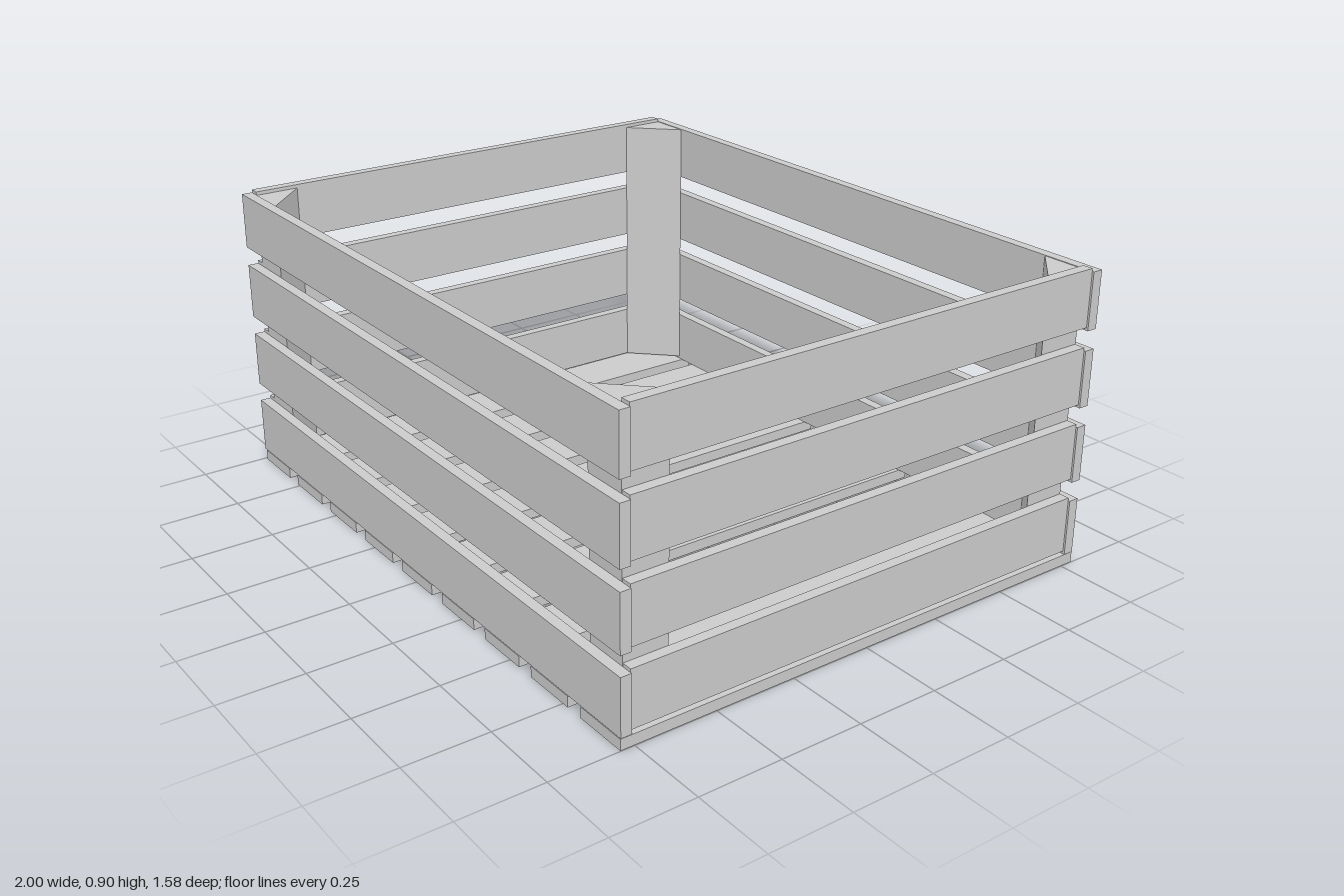
import * as THREE from 'three';

export function createModel() {
  const model = new THREE.Group();
  model.name = 'slattedCrate';
  const material = new THREE.MeshStandardMaterial({ color: 0xcccccc, flatShading: true });

  const add = (name, geometry, x, y, z) => {
    const mesh = new THREE.Mesh(geometry, material);
    mesh.name = name;
    mesh.position.set(x, y, z);
    model.add(mesh);
    return mesh;
  };

  // Floor slats running front to back
  const floorSlat = new THREE.BoxGeometry(0.17, 0.033, 1.583);
  for (let i = 0; i < 9; i++) add('floorSlat', floorSlat, -0.904 + i * 0.2272, 0.0165, 0);

  // Four rows of wall slats; the side walls sit slightly higher
  const longSlat = new THREE.BoxGeometry(2, 0.17, 0.032);
  const sideSlat = new THREE.BoxGeometry(0.032, 0.17, 1.516);
  for (let row = 0; row < 4; row++) {
    const y = 0.12 + row * 0.2283;
    add('frontSlat', longSlat, 0, y, 0.775);
    add('backSlat', longSlat, 0, y, -0.775);
    add('leftSlat', sideSlat, 0.979, y + 0.009, 0);
    add('rightSlat', sideSlat, -0.984, y + 0.009, 0);
  }

  // Triangular posts inside the corners, right angle towards the corner
  const leg = 0.136, bottom = 0.043, top = 0.888;
  for (const sx of [-1, 1]) {
    for (const sz of [-1, 1]) {
      const shape = new THREE.Shape([
        new THREE.Vector2(0, 0),
        new THREE.Vector2(-sx * leg, 0),
        new THREE.Vector2(0, sz * leg),
      ]);
      const post = new THREE.ExtrudeGeometry(shape, { depth: top - bottom, bevelEnabled: false });
      post.rotateX(-Math.PI / 2);
      add('cornerPost', post, sx > 0 ? 0.963 : -0.968, bottom, sz * 0.759);
    }
  }
  return model;
}
